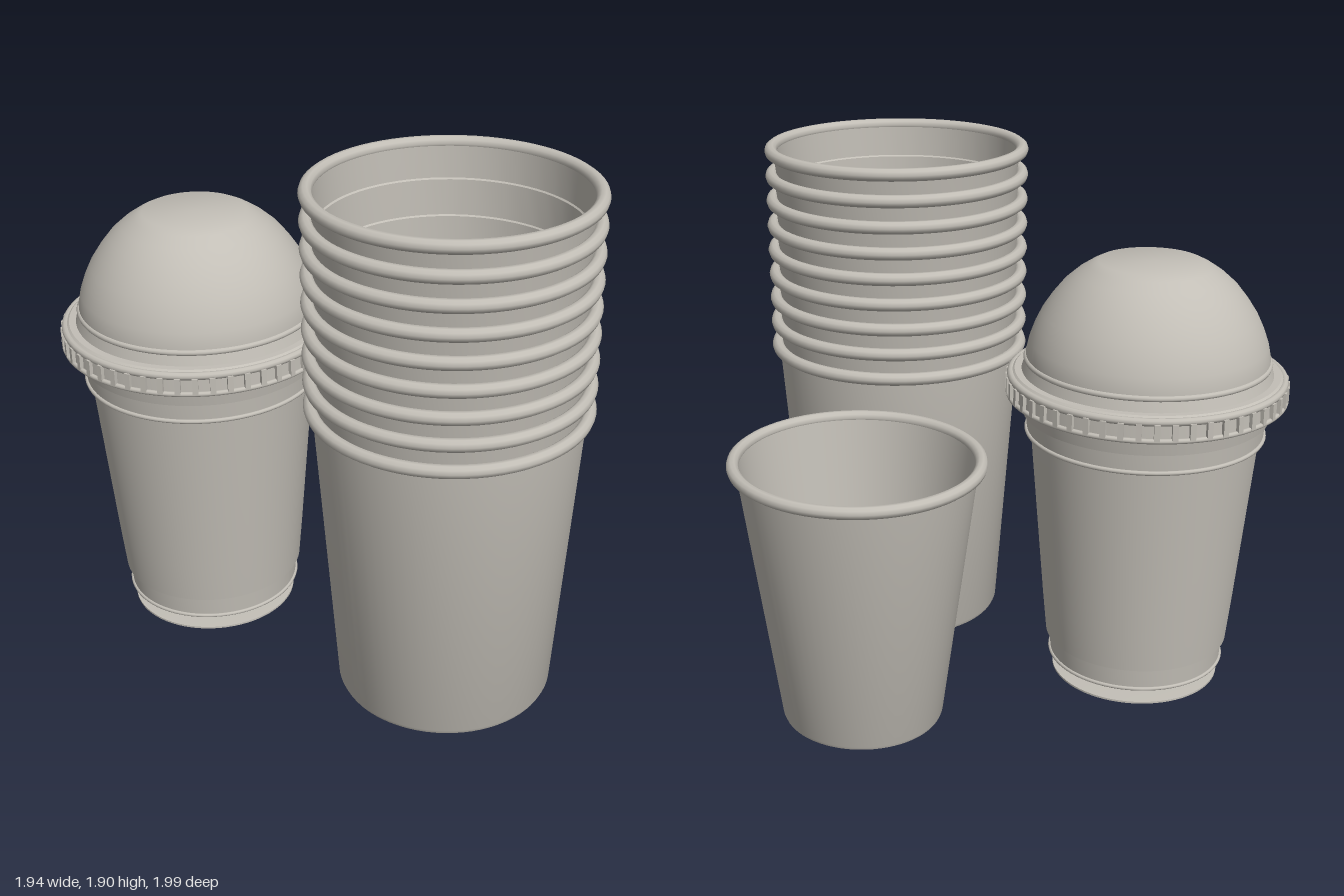
import * as THREE from 'three';
import { toCreasedNormals } from 'three/addons/utils/BufferGeometryUtils.js';

const SEG = 72;

export function createModel() {
  const paper = new THREE.MeshStandardMaterial({ color: 0xc2beb6, side: THREE.DoubleSide });
  paper.name = 'warm grey';

  const add = (parent, name, geometry, y = 0) => {
    const mesh = new THREE.Mesh(geometry, paper);
    mesh.name = name;
    mesh.position.y = y;
    parent.add(mesh);
    return mesh;
  };
  // Turned part; the profile runs up the outside, then down the inside
  const turned = (points) => toCreasedNormals(
    new THREE.LatheGeometry(points.map(([r, y]) => new THREE.Vector2(r, y)), SEG), 0.6);
  // Rolled rim lying flat
  const roll = (radius, tube) => new THREE.TorusGeometry(radius, tube, 10, SEG).rotateX(Math.PI / 2);
  const place = (name, x, z) => {
    const group = new THREE.Group();
    group.name = name;
    group.position.set(x, 0, z);
    model.add(group);
    return group;
  };

  const model = new THREE.Group();
  model.name = 'paperCups';

  // Tall stack of nested cups
  const stack = place('cupStack', -0.115, 0.498);
  const count = 9, firstRim = 1.13, pitch = 0.0935;
  const stackProfile = [[0, 0.03], [0.375, 0.03], [0.382, 0.045], [0.462, firstRim]];
  for (let i = 0; i < count; i++) {
    const y = firstRim + i * pitch;
    add(stack, 'stackRim', roll(0.467, 0.023), y);
    if (i < count - 1) stackProfile.push([0.449, y + 0.01], [0.46, y + pitch]);
  }
  // Inside wall with faint ledges, down to the floor of the top cup
  stackProfile.push([0.447, 1.885], [0.441, 1.76], [0.436, 1.755], [0.431, 1.63], [0.426, 1.625],
    [0.422, 1.5], [0.418, 1.495], [0.41, 0.8], [0, 0.8]);
  add(stack, 'stackBody', turned(stackProfile));
  add(stack, 'baseNub', new THREE.CylinderGeometry(0.04, 0.04, 0.03, 12), 0.018);

  // Single open cup
  const cup = place('openCup', 0.532, -0.108);
  cup.scale.set(0.98, 1, 1.01);
  add(cup, 'cupWall', turned([[0.275, 0.018], [0.286, 0.018], [0.291, 0.03], [0.42, 0.98],
    [0.41, 0.99], [0.278, 0.034]]));
  add(cup, 'cupRim', roll(0.428, 0.022), 0.982);

  // Floor with a ragged stepped hole
  const floor = new THREE.Shape().absarc(0, 0, 0.284, 0, Math.PI * 2, false);
  const steps = [[0.11, 0], [0.11, 0.05], [0.08, 0.05], [0.08, 0.08], [0.04, 0.08], [0.04, 0.11]];
  const outline = [];
  for (let q = 0; q < 4; q++) {
    const c = Math.round(Math.cos(q * Math.PI / 2)), s = Math.round(Math.sin(q * Math.PI / 2));
    for (const [x, y] of steps) outline.push(new THREE.Vector2(x * c - y * s, x * s + y * c));
  }
  floor.holes.push(new THREE.Path(outline.reverse()));
  add(cup, 'cupFloor', new THREE.ExtrudeGeometry(floor, { depth: 0.014, bevelEnabled: false, curveSegments: 36 })
    .rotateX(-Math.PI / 2), 0.02);

  // Cup with a domed lid
  const domed = place('domedCup', -0.463, -0.495);
  add(domed, 'domedCupBody', turned([[0, 0.1], [0.29, 0.1], [0.3, 0.075], [0.318, 0.075], [0.324, 0.16],
    [0.337, 0.165], [0.352, 0.32], [0.408, 0.96], [0.422, 0.972], [0.428, 1.04], [0.44, 1.045], [0.452, 1.115]]));
  add(domed, 'bodyStepRing', roll(0.424, 0.008), 0.975);
  add(domed, 'baseRing', roll(0.32, 0.007), 0.083);
  add(domed, 'baseDisc', turned([[0, 0.004], [0.22, 0.004], [0.3, 0.01], [0.31, 0.015], [0.31, 0.022],
    [0.2, 0.028], [0, 0.028]]));

  // Lid: flange, beads, dome and flat top
  add(domed, 'lidFlange', turned([[0.44, 1.11], [0.49, 1.11], [0.488, 1.185], [0.47, 1.2],
    [0.445, 1.2], [0.43, 1.25]]));
  add(domed, 'flangeTopBead', roll(0.483, 0.014), 1.182);
  add(domed, 'flangeLowerBead', roll(0.493, 0.009), 1.118);
  add(domed, 'domeBead', roll(0.428, 0.011), 1.243);
  add(domed, 'dome', turned([[0.43, 1.22], [0.43, 1.265], [0.42, 1.31], [0.402, 1.36], [0.378, 1.41],
    [0.345, 1.46], [0.305, 1.51], [0.26, 1.55], [0.215, 1.58], [0.185, 1.595], [0, 1.595]]));

  // Grip ribs around the flange
  const ribCount = 52;
  for (let i = 0; i < ribCount; i++) {
    const a = (i / ribCount) * Math.PI * 2;
    const rib = add(domed, 'lidRib', new THREE.BoxGeometry(0.02, 0.06, 0.024), 1.148);
    rib.position.x = Math.sin(a) * 0.49;
    rib.position.z = Math.cos(a) * 0.49;
    rib.rotation.y = a;
  }
  return model;
}
